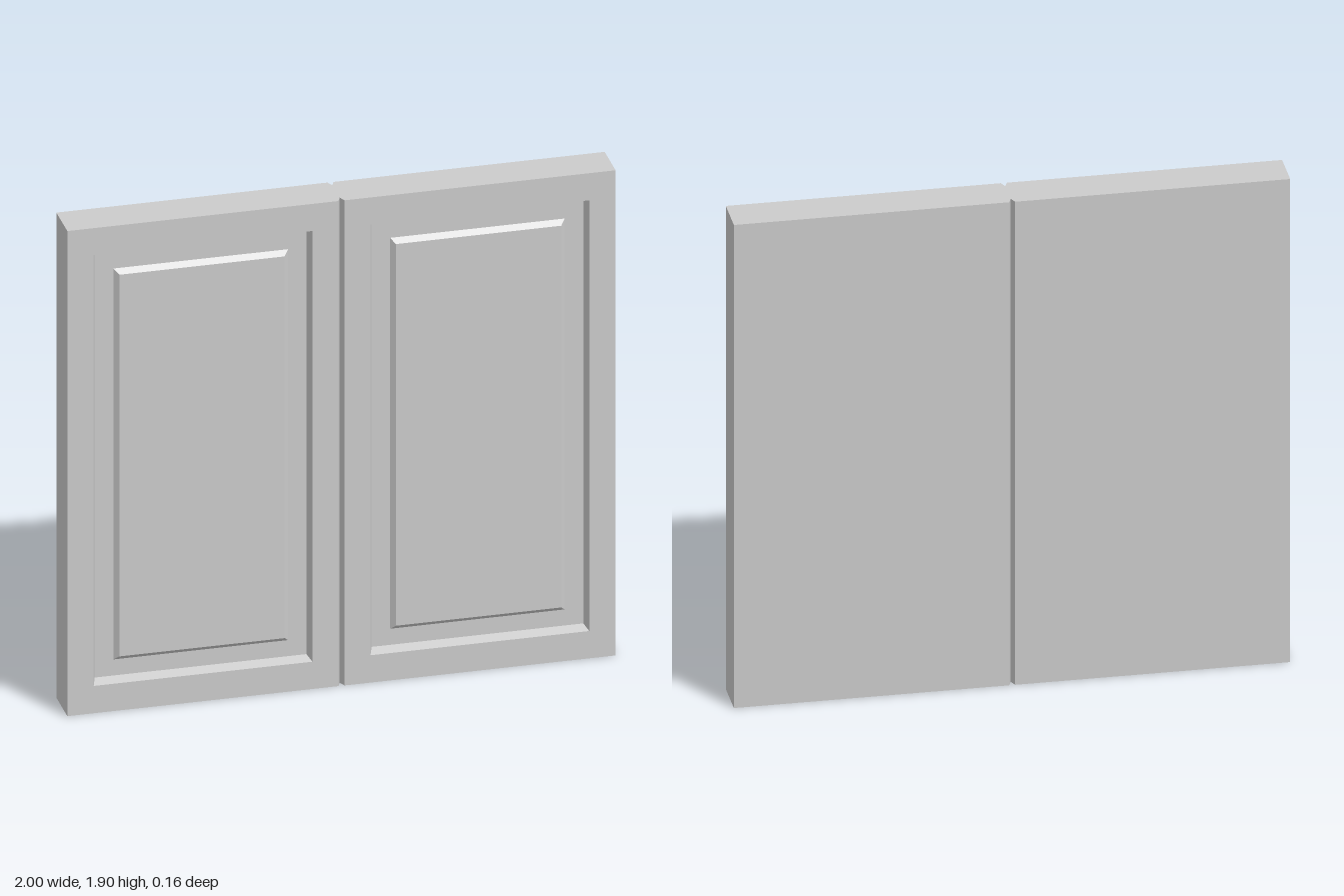
import * as THREE from 'three';

const H = 1.9;    // height
const Z = 0.078;  // half thickness
const material = new THREE.MeshStandardMaterial({ color: 0xcccccc, flatShading: true });

// Rectangular sections of one door, from back to front: [x0, x1, y0, y1, z]
const SECTIONS = [
  [0.011, 1, 0, H, -Z],                        // back face, edge chamfered at the seam
  [0, 1, 0, H, -0.052],
  [0, 1, 0, H, 0.052],
  [0.011, 1, 0, H, Z],                         // front face
  [0.106, 0.904, 0.107, 1.794, Z],             // inner edge of the frame
  [0.119, 0.891, 0.122, 1.781, 0.043],         // recess floor
  [0.186, 0.823, 0.185, 1.716, 0.043],         // foot of the raised panel
  [0.203, 0.806, 0.203, 1.698, 0.061],         // raised panel face
];

// Joins the sections with flat quads and caps both ends
function loftDoor(side) {
  const rings = SECTIONS.map(([a, b, y0, y1, z]) => {
    const [x0, x1] = side > 0 ? [a, b] : [-b, -a];
    return [[x0, y0, z], [x1, y0, z], [x1, y1, z], [x0, y1, z]];
  });
  const positions = [];
  const quad = (a, b, c, d) => positions.push(...a, ...b, ...c, ...a, ...c, ...d);

  for (let r = 0; r < rings.length - 1; r++) {
    for (let i = 0; i < 4; i++) {
      const j = (i + 1) % 4;
      quad(rings[r][i], rings[r][j], rings[r + 1][j], rings[r + 1][i]);
    }
  }
  const back = rings[0];
  quad(back[3], back[2], back[1], back[0]);
  quad(...rings[rings.length - 1]);

  const geometry = new THREE.BufferGeometry();
  geometry.setAttribute('position', new THREE.Float32BufferAttribute(positions, 3));
  geometry.computeVertexNormals();
  return geometry;
}

export function createModel() {
  const group = new THREE.Group();
  group.name = 'doubleCabinetDoor';
  // Mirrored pair meeting in a V-shaped seam at the centre
  for (const [name, side] of [['leftDoor', 1], ['rightDoor', -1]]) {
    const door = new THREE.Mesh(loftDoor(side), material);
    door.name = name;
    group.add(door);
  }
  return group;
}
